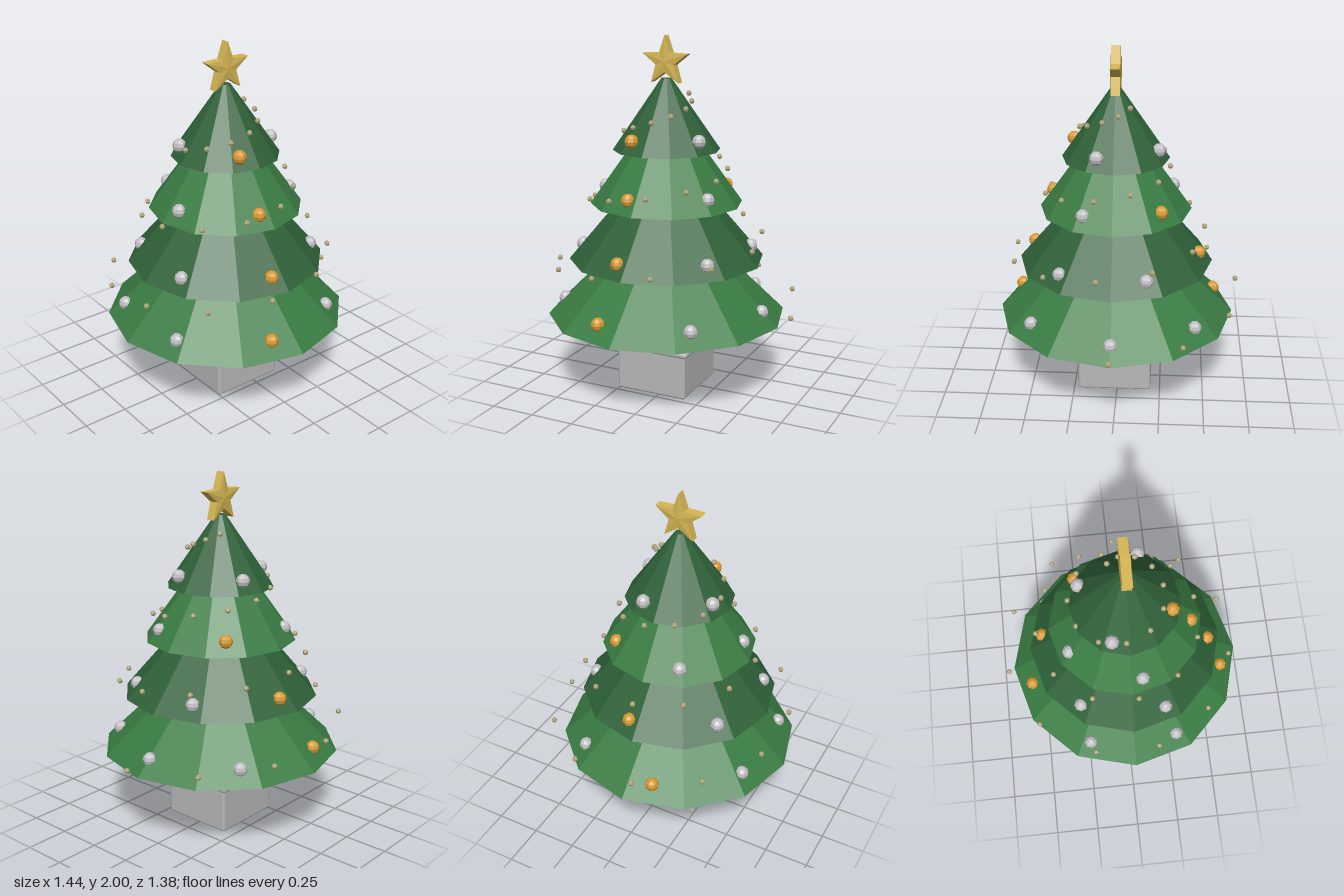
import * as THREE from 'three';
import { RoundedBoxGeometry } from 'three/addons/geometries/RoundedBoxGeometry.js';

const mat = (name, color, flatShading = true) => {
  const m = new THREE.MeshStandardMaterial({ color, flatShading });
  m.name = name;
  return m;
};

// Five-pointed star with a straight rim and a raised centre on both faces
function starGeometry(outer, inner, halfRim, halfCentre) {
  const pos = [];
  const point = (i, z) => {
    const a = Math.PI / 2 + (i * Math.PI) / 5;
    const r = i % 2 ? inner : outer;
    return [r * Math.cos(a), r * Math.sin(a), z];
  };
  for (let i = 0; i < 10; i++) {
    const a = point(i, halfRim), b = point(i + 1, halfRim);
    const c = point(i, -halfRim), d = point(i + 1, -halfRim);
    pos.push(...a, ...b, 0, 0, halfCentre);
    pos.push(...d, ...c, 0, 0, -halfCentre);
    pos.push(...a, ...c, ...d, ...a, ...d, ...b);
  }
  const g = new THREE.BufferGeometry();
  g.setAttribute('position', new THREE.Float32BufferAttribute(pos, 3));
  g.computeVertexNormals();
  return g;
}

export function createModel() {
  const lightGreen = mat('light green', 0x3a7d44);
  const darkGreen = mat('dark green', 0x2f6239);
  const bark = mat('bark brown', 0x5a3825);
  const potGrey = mat('pot grey', 0xb8b8b8, false);
  const starGold = mat('star gold', 0xd6b654);
  const silver = mat('silver', 0xc2c0c4);
  const amber = mat('amber', 0xd89a34);
  const lightBeige = mat('light beige', 0xb3a67c);

  const model = new THREE.Group();
  const tree = new THREE.Group();
  tree.name = 'christmasTree';
  tree.position.set(-0.045, 0, 0.015);
  model.add(tree);

  const add = (name, geometry, material, x, y, z) => {
    const mesh = new THREE.Mesh(geometry, material);
    mesh.name = name;
    mesh.position.set(x, y, z);
    tree.add(mesh);
  };

  // Square pot with a projecting rim
  add('pot', new RoundedBoxGeometry(0.42, 0.265, 0.42, 2, 0.014), potGrey, 0, 0.1325, 0);
  add('potRim', new RoundedBoxGeometry(0.456, 0.034, 0.456, 2, 0.015), potGrey, 0, 0.268, 0);

  // Trunk
  add('trunk', new THREE.CylinderGeometry(0.065, 0.07, 0.3, 8), bark, 0, 0.4, 0);

  // Foliage tiers, each with its ring of baubles
  const tiers = [
    { y: 0.435, r: 0.675, top: 0.04, h: 0.62, mat: lightGreen, n: 7, start: 0, ring: 0.58, by: 0.515, amber: [2, 5] },
    { y: 0.76, r: 0.55, top: 0.04, h: 0.6, mat: darkGreen, n: 6, start: 37, ring: 0.475, by: 0.832, amber: [1, 4] },
    { y: 1.08, r: 0.425, top: 0.04, h: 0.54, mat: lightGreen, n: 5, start: 26.5, ring: 0.36, by: 1.153, amber: [1, 4] },
    { y: 1.378, r: 0.298, top: 0.028, h: 0.392, mat: darkGreen, n: 4, start: 21, ring: 0.255, by: 1.45, amber: [1] },
  ];
  const bauble = new THREE.SphereGeometry(0.039, 8, 6);
  for (const t of tiers) {
    add('foliageTier', new THREE.CylinderGeometry(t.top, t.r, t.h, 12), t.mat, 0, t.y + t.h / 2, 0);
    for (let i = 0; i < t.n; i++) {
      const a = THREE.MathUtils.degToRad(t.start + (i * 360) / t.n);
      add('bauble', bauble, t.amber.includes(i) ? amber : silver,
        t.ring * Math.cos(a), t.by, t.ring * Math.sin(a));
    }
  }

  // Small lights winding up the tree in a spiral
  const bulb = new THREE.SphereGeometry(0.016, 6, 4);
  for (let i = 0; i < 36; i++) {
    const a = THREE.MathUtils.degToRad(-32 * i);
    const r = 0.75 - 0.0178 * i;
    add('fairyLight', bulb, lightBeige, r * Math.cos(a), 0.505 + 0.0337 * i, r * Math.sin(a));
  }

  // Star on the tip
  add('star', starGeometry(0.14, 0.057, 0.025, 0.032), starGold, 0, 1.86, 0);

  return model;
}
